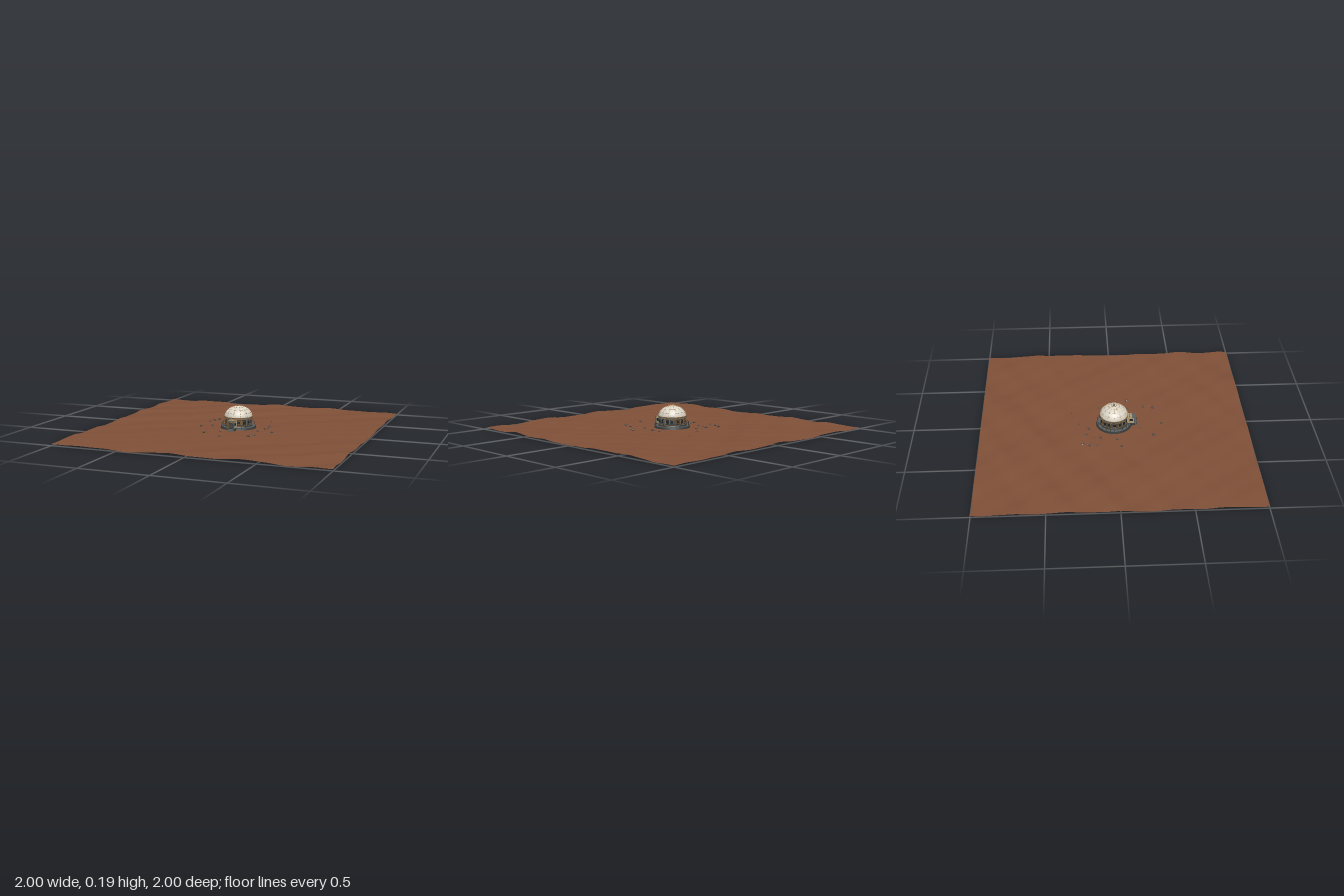
import * as THREE from 'three';

const mat = (name, color, side = THREE.FrontSide) => {
  const m = new THREE.MeshStandardMaterial({ color, side });
  m.name = name;
  return m;
};

// rolling dunes, level under the building
const duneHeight = (x, z) => {
  const h = 0.0035 * Math.sin(4.1 * x + 6.3 * z + 0.6) + 0.003 * Math.sin(9.7 * x - 5.3 * z + 1.9)
    + 0.003 * Math.sin(11.3 * x + 16.1 * z) + 0.0022 * Math.sin(19 * z + 13 * x + 2.2)
    + 0.0015 * Math.sin(27 * x - 21 * z) + 0.001 * Math.sin(37 * z + 17 * x);
  const d = Math.hypot(x, z);
  return 0.022 + h * (0.08 + 0.92 * THREE.MathUtils.smoothstep(d, 0.14, 0.5));
};

export function createModel() {
  const model = new THREE.Group();
  const soil = mat('red soil', 0x7e4f37, THREE.DoubleSide);
  const white = mat('shell white', 0xd8d2c4);
  const dark = mat('dark metal', 0x363a39);
  const steel = mat('grey steel', 0x5c605d);
  const copper = mat('copper trim', 0xa36c30);
  const tan = mat('tan panel', 0xb39c78);
  const glass = mat('dark glass', 0x1d2427);
  const stone = mat('stone', 0x4b4844);

  const add = (name, geo, material, x = 0, y = 0, z = 0, parent = model) => {
    const m = new THREE.Mesh(geo, material);
    m.name = name;
    m.position.set(x, y, z);
    parent.add(m);
    return m;
  };
  const box = (w, h, d) => new THREE.BoxGeometry(w, h, d);
  const cyl = (a, b, h, n = 48) => new THREE.CylinderGeometry(a, b, h, n);
  const ring = (name, r, t, y, m) => {
    add(name, new THREE.TorusGeometry(r, t, 6, 64).rotateX(Math.PI / 2), m, 0, y, 0);
  };
  // repeat a part round the vertical axis
  const around = (n, fn, offset = 0) => {
    for (let i = 0; i < n; i++) {
      const g = new THREE.Group();
      g.name = 'segment';
      g.rotation.y = ((i + offset) / n) * Math.PI * 2;
      fn(g, i);
      model.add(g);
    }
  };

  // ground
  const ground = new THREE.PlaneGeometry(2, 2, 120, 120).rotateX(-Math.PI / 2);
  const p = ground.attributes.position;
  for (let i = 0; i < p.count; i++) p.setY(i, duneHeight(p.getX(i), p.getZ(i)));
  ground.computeVertexNormals();
  add('ground', ground, soil);

  // foundation and drum
  add('foundation', cyl(0.131, 0.134, 0.013), dark, 0, 0.0305, 0);
  add('deck', cyl(0.125, 0.125, 0.003), steel, 0, 0.038, 0);
  add('drum', cyl(0.1, 0.1, 0.066), dark, 0, 0.072, 0);
  add('drumFoot', cyl(0.104, 0.107, 0.008), dark, 0, 0.043, 0);
  ring('lowerTrim', 0.101, 0.0018, 0.051, copper);
  ring('upperTrim', 0.102, 0.0025, 0.098, copper);
  add('collar', cyl(0.105, 0.105, 0.008), steel, 0, 0.105, 0);

  // drum windows and pillars
  around(16, (g, i) => {
    if (i === 0) return;
    add('windowFrame', box(0.024, 0.028, 0.005), copper, 0, 0.075, 0.0985, g);
    add('window', box(0.02, 0.023, 0.005), glass, 0, 0.075, 0.0998, g);
  });
  around(16, (g) => add('pillar', box(0.007, 0.048, 0.008), steel, 0, 0.074, 0.1, g), 0.5);

  // dome shell
  const R = 0.104, H = 0.078, Y = 0.109;
  const domePoint = (t, grow = 0) => new THREE.Vector2(
    (R + grow) * Math.cos(t), Y + (H + grow) * Math.sin(t));
  const profile = [];
  for (let i = 0; i <= 20; i++) profile.push(domePoint((i / 20) * Math.PI / 2));
  profile.reverse();
  profile[0].x = 0;
  add('dome', new THREE.LatheGeometry(profile.reverse(), 64), white);

  // dome seams and bolts
  const rings = [0.03, 0.42, 0.8, 1.16];
  rings.forEach((t, i) => {
    const q = domePoint(t);
    ring('domeRing', q.x, i ? 0.0007 : 0.002, q.y, i ? tan : copper);
  });
  const arc = [];
  for (let i = 0; i <= 12; i++) {
    const q = domePoint((i / 12) * 1.4);
    arc.push(new THREE.Vector3(0, q.y, q.x));
  }
  const rib = new THREE.TubeGeometry(new THREE.CatmullRomCurve3(arc), 24, 0.0007, 5);
  const bolt = new THREE.SphereGeometry(0.0032, 8, 6);
  around(12, (g) => {
    add('domeRib', rib, tan, 0, 0, 0, g);
    rings.slice(1).forEach((t) => {
      const q = domePoint(t);
      add('bolt', bolt, copper, 0, q.y, q.x, g);
    });
  });

  // roof cap
  add('roofCap', cyl(0.017, 0.021, 0.006, 24), white, 0, 0.188, 0);
  ring('capTrim', 0.018, 0.0018, 0.19, copper);
  add('capHub', cyl(0.007, 0.01, 0.006, 16), steel, 0, 0.193, 0);

  // railing, open at the entrance
  around(24, (g, i) => {
    if (i < 2 || i > 22) return;
    add('railPost', cyl(0.0013, 0.0013, 0.026, 6), dark, 0, 0.052, 0.124, g);
  });
  const rail = new THREE.TorusGeometry(0.124, 0.0009, 5, 72, Math.PI * 2 * 20 / 24);
  rail.rotateX(Math.PI / 2).rotateY(-Math.PI / 3);
  add('rail', rail, dark, 0, 0.064, 0);

  // airlock entrance
  add('airlockFoot', box(0.058, 0.017, 0.06), dark, 0, 0.0325, 0.126);
  add('airlock', box(0.05, 0.05, 0.058), tan, 0, 0.066, 0.124);
  add('airlockRoof', box(0.056, 0.006, 0.04), tan, 0, 0.096, 0.114);
  add('roofStripe', box(0.056, 0.0065, 0.008), copper, 0, 0.0962, 0.118);
  add('canopy', box(0.058, 0.005, 0.024), steel, 0, 0.0945, 0.146);
  add('airlockFront', box(0.05, 0.048, 0.003), dark, 0, 0.065, 0.1535);
  add('doorFrame', box(0.036, 0.044, 0.003), copper, 0, 0.064, 0.1545);
  add('door', box(0.032, 0.041, 0.003), dark, 0, 0.0625, 0.1555);
  for (const s of [-1, 1]) {
    const brace = add('doorBrace', box(0.003, 0.044, 0.002), steel, 0, 0.0625, 0.157);
    brace.rotation.z = s * 0.62;
    add('sideWindow', box(0.003, 0.02, 0.026), glass, s * 0.0242, 0.07, 0.13);
    add('cornerPost', box(0.005, 0.052, 0.005), steel, s * 0.025, 0.066, 0.153);
    add('stepRail', cyl(0.0012, 0.0012, 0.026, 6), dark, s * 0.026, 0.045, 0.17);
  }
  for (let i = 0; i < 2; i++) {
    add('step', box(0.05, 0.014 - i * 0.006, 0.009), steel, 0, 0.031 - i * 0.003, 0.16 + i * 0.009);
  }

  // scattered stones: x, z, radius
  const stones = [
    [-0.25, -0.24, 0.013], [-0.27, -0.19, 0.011], [-0.28, -0.13, 0.009], [-0.145, -0.21, 0.012],
    [-0.17, -0.155, 0.005], [-0.175, -0.105, 0.01], [-0.06, -0.19, 0.01], [0, -0.26, 0.008],
    [0.155, -0.32, 0.005], [0.205, -0.11, 0.008], [0.225, -0.09, 0.008], [0.225, -0.03, 0.009],
    [0.21, 0, 0.011], [0.19, 0.1, 0.01], [0.3, 0.11, 0.013], [0.21, 0.235, 0.011],
    [0.19, 0.305, 0.013], [-0.01, 0.36, 0.01], [-0.16, 0.285, 0.012], [-0.07, 0.19, 0.007],
    [-0.285, 0.045, 0.011], [-0.205, 0.015, 0.01],
  ];
  stones.forEach(([x, z, r], i) => {
    const geo = new THREE.DodecahedronGeometry(r, 0).rotateX(i * 1.3).rotateY(i * 2.1);
    geo.scale(1, 0.55, 1);
    add('stone', geo, stone, x, duneHeight(x, z) + r * 0.5, z);
  });
  return model;
}
